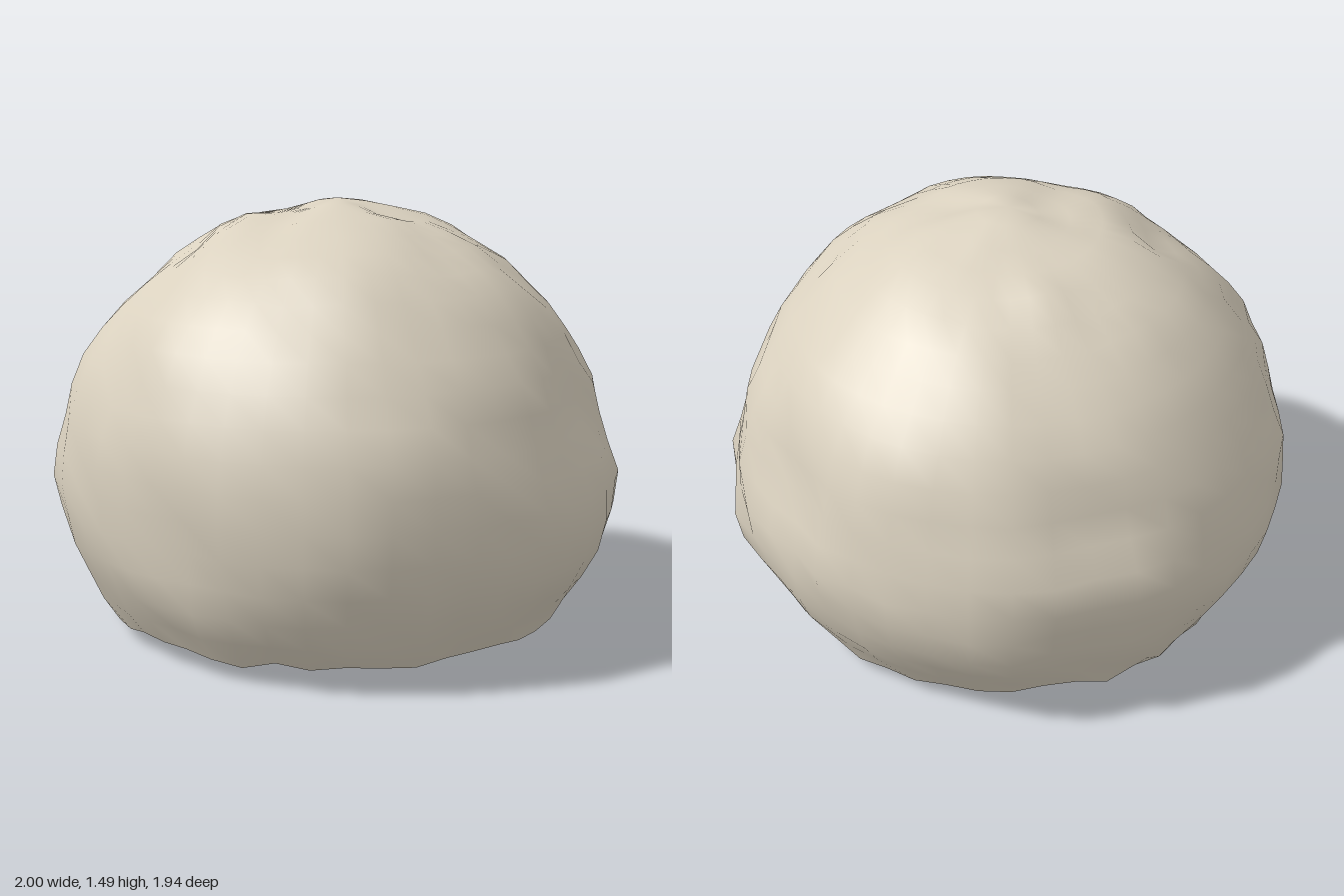
import * as THREE from 'three';
import { mergeVertices } from 'three/addons/utils/BufferGeometryUtils.js';

const CENTRE_Y = 0.56, MEAN_RADIUS = 0.95, RIM_ANGLE = 2.11;

// Smooth value noise in -1..1
function hash(x, y, z) {
  const s = Math.sin(x * 127.1 + y * 311.7 + z * 74.7) * 43758.5453;
  return (s - Math.floor(s)) * 2 - 1;
}
function noise(x, y, z) {
  const i = [x, y, z].map(Math.floor);
  const f = [x - i[0], y - i[1], z - i[2]].map(t => t * t * (3 - 2 * t));
  let sum = 0;
  for (let k = 0; k < 8; k++) {
    const a = k & 1, b = (k >> 1) & 1, c = k >> 2;
    sum += hash(i[0] + a, i[1] + b, i[2] + c)
      * (a ? f[0] : 1 - f[0]) * (b ? f[1] : 1 - f[1]) * (c ? f[2] : 1 - f[2]);
  }
  return sum;
}

// Three contours that guide the lumpy surface: across (x, y), along (z, y), around (x, z)
const ACROSS = [
  [-0.8, 0.11], [-0.87, 0.2], [-0.95, 0.4], [-1.0, 0.58], [-0.96, 0.8], [-0.92, 0.92], [-0.79, 1.1],
  [-0.6, 1.27], [-0.36, 1.45], [-0.14, 1.465], [0, 1.53], [0.12, 1.48], [0.3, 1.455], [0.48, 1.36],
  [0.66, 1.24], [0.8, 1.06], [0.9, 0.92], [0.95, 0.7], [1.0, 0.42], [0.83, 0.15],
];
const ALONG = [
  [0.8, 0.1], [0.87, 0.2], [0.95, 0.4], [0.97, 0.56], [0.96, 0.8], [0.84, 1.0], [0.72, 1.18],
  [0.58, 1.34], [0.4, 1.43], [-0.2, 1.46], [-0.4, 1.42], [-0.6, 1.27], [-0.8, 1.04],
  [-0.86, 0.8], [-0.97, 0.66], [-0.92, 0.42], [-0.81, 0.15],
];
const AROUND = [
  [-0.94, -0.34], [-0.77, -0.61], [-0.55, -0.8], [-0.3, -0.92], [0.36, -0.9], [0.6, -0.76],
  [0.79, -0.51], [0.95, -0.22], [0.94, 0.3], [0.8, 0.58], [0.58, 0.8], [0.25, 0.94],
  [-0.4, 0.87], [-0.64, 0.69], [-0.68, 0.6], [-0.8, 0.5], [-0.93, 0.22],
];
const GUIDES = [
  ...ACROSS.map(([x, y]) => [x, y - CENTRE_Y, 0]),
  ...ALONG.map(([z, y]) => [0, y - CENTRE_Y, z]),
  ...AROUND.map(([x, z]) => [x, -0.04, z]),
].map(p => {
  const dir = new THREE.Vector3(...p);
  const radius = dir.length();
  return { dir: dir.normalize(), radius };
});

// Dents and knobs: surface point x, y, z, then spread and height
const FEATURES = [
  [-0.57, 0.42, 0.75, 0.1, -0.04], [0.72, 0.85, 0.54, 0.16, -0.04],
  [-0.48, 1.36, -0.1, 0.06, -0.04], [0.88, 0.8, -0.28, 0.14, -0.04],
  [0.62, 1.03, -0.6, 0.14, 0.02], [0.78, 0.55, -0.5, 0.12, 0.03],
].map(([x, y, z, spread, height]) => ({
  dir: new THREE.Vector3(x, y - CENTRE_Y, z).normalize(), spread, height,
}));

function surfaceRadius(d) {
  // Blend the nearby guides with the mean radius
  let weight = 0.12, r = weight * (MEAN_RADIUS - 0.03 * THREE.MathUtils.smoothstep(-d.y, 0.2, 0.5));
  for (const g of GUIDES) {
    const w = Math.exp(-d.distanceToSquared(g.dir) / 0.016);
    r += w * g.radius;
    weight += w;
  }
  r /= weight;
  for (const f of FEATURES) {
    r += f.height * Math.exp(-d.distanceToSquared(f.dir) / (f.spread * f.spread));
  }
  return r + 0.016 * noise(d.x * 7 + 3, d.y * 7 + 7, d.z * 7 + 1);
}

export function createModel() {
  const stone = new THREE.MeshStandardMaterial({ color: 0xdad1bf });
  stone.name = 'pale stone';
  const group = new THREE.Group();
  group.name = 'boulder';

  // Lumpy dome, welded so that its shading is smooth
  let dome = new THREE.SphereGeometry(1, 44, 19, 0, Math.PI * 2, 0, RIM_ANGLE);
  dome.deleteAttribute('uv');
  dome.deleteAttribute('normal');
  dome = mergeVertices(dome, 1e-4);
  const pos = dome.attributes.position;
  const rim = [];
  const d = new THREE.Vector3();
  for (let i = 0; i < pos.count; i++) {
    d.fromBufferAttribute(pos, i);
    const isRim = d.y < Math.cos(RIM_ANGLE - 0.01);
    const angle = Math.atan2(d.z, d.x);
    // Ragged lower edge that hangs lower on one side
    const hang = THREE.MathUtils.smoothstep(-d.y, 0.3, 0.5)
      * -0.055 * Math.exp(-((d.x + 0.75) ** 2 + (d.z + 0.25) ** 2) / 0.16);
    const ragged = isRim ? 0.025 * noise(d.x * 8, 4, d.z * 8) : 0;
    d.multiplyScalar(surfaceRadius(d));
    d.y = Math.max(d.y + CENTRE_Y + hang + ragged, 0);
    pos.setXYZ(i, d.x, d.y, d.z);
    if (isRim) rim.push({ angle, p: d.clone() });
  }
  dome.computeVertexNormals();
  const domeMesh = new THREE.Mesh(dome, stone);
  domeMesh.name = 'rockDome';

  // Level underside, joined to the ragged edge by a narrow sloping band
  rim.sort((a, b) => a.angle - b.angle);
  const inner = rim.map(({ p }) => new THREE.Vector3(p.x * 0.93, 0.1, p.z * 0.93));
  const faces = [];
  rim.forEach(({ p }, i) => {
    const j = (i + 1) % rim.length;
    const q = rim[j].p, a = inner[i], b = inner[j];
    for (const v of [p, q, a, a, q, b, a, b, new THREE.Vector3(0, 0.1, 0)]) faces.push(v.x, v.y, v.z);
  });
  const base = new THREE.BufferGeometry();
  base.setAttribute('position', new THREE.Float32BufferAttribute(faces, 3));
  base.computeVertexNormals();
  const baseMesh = new THREE.Mesh(base, stone);
  baseMesh.name = 'underside';

  group.add(domeMesh, baseMesh);
  return group;
}
